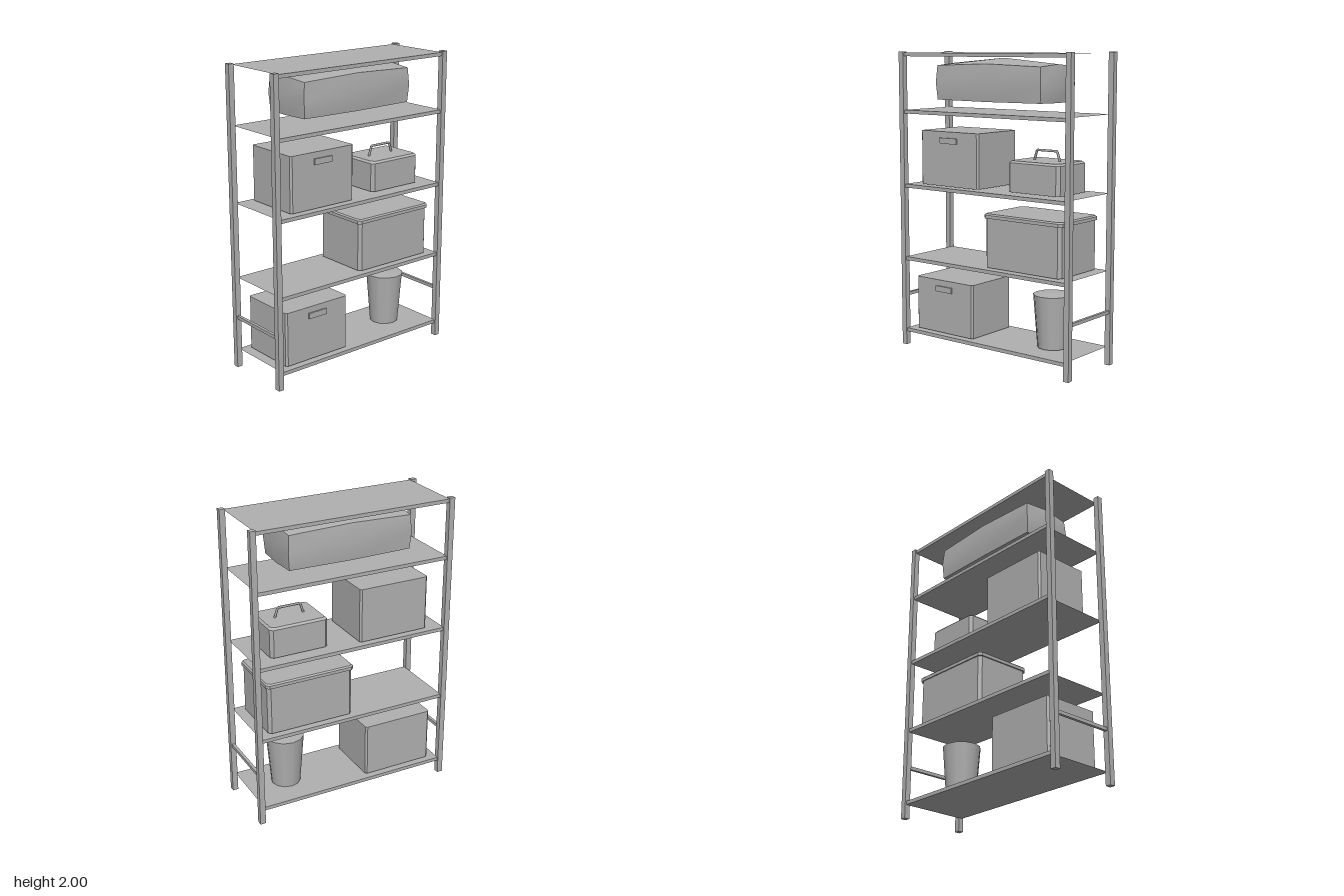
import * as THREE from 'three';
import { ConvexGeometry } from 'three/addons/geometries/ConvexGeometry.js';

const grey = new THREE.MeshStandardMaterial({ color: 0xb0b0b0 });
grey.name = 'plain grey';

function add(parent, name, geometry, x = 0, y = 0, z = 0) {
  const mesh = new THREE.Mesh(geometry, grey);
  mesh.name = name;
  mesh.position.set(x, y, z);
  parent.add(mesh);
  return mesh;
}

function group(parent, name, x, y, z = 0) {
  const g = new THREE.Group();
  g.name = name;
  g.position.set(x, y, z);
  parent.add(g);
  return g;
}

// Box standing on y = 0 with cut vertical corners and an optional bevelled top
function cutBox(w, h, d, cut, bevel = 0) {
  const points = [];
  const levels = bevel ? [[0, 0], [h - bevel, 0], [h, bevel]] : [[0, 0], [h, 0]];
  for (const [y, inset] of levels) {
    const a = w / 2 - inset, b = d / 2 - inset;
    for (const sx of [-1, 1]) for (const sz of [-1, 1]) {
      points.push(new THREE.Vector3(sx * a, y, sz * (b - cut)));
      points.push(new THREE.Vector3(sx * (a - cut), y, sz * b));
    }
  }
  return new ConvexGeometry(points);
}

// Folded sheet: top, underside and long edges, open at both ends
function shelfGeometry() {
  const g = new THREE.BoxGeometry(1.33, 0.024, 0.476);
  g.setIndex(Array.from(g.index.array).slice(12));
  g.clearGroups();
  return g;
}

// Soft bag: a box whose faces swell towards their middles
function bagGeometry() {
  const g = new THREE.BoxGeometry(2, 2, 2, 2, 2, 2);
  const p = g.attributes.position;
  const swell = (a, b) => (1 - 0.6 * a * a) * (1 - 0.6 * b * b) - 0.16;
  for (let i = 0; i < p.count; i++) {
    const x = p.getX(i), y = p.getY(i), z = p.getZ(i);
    const rise = y > 0 ? 0.11 + 0.06 * swell(x, z) : 0.113 + 0.01 * swell(x, z);
    p.setXYZ(i,
      x * (0.42 + 0.036 * swell(y, z)),
      y * rise,
      z * (0.174 + 0.03 * swell(x, y)));
  }
  g.computeVertexNormals();
  return g;
}

export function createModel() {
  const model = new THREE.Group();
  model.name = 'storageShelf';

  // Frame
  for (const sx of [-1, 1]) {
    for (const sz of [-1, 1]) {
      add(model, 'post', new THREE.BoxGeometry(0.038, 2, 0.038), sx * 0.68, 1, sz * 0.229);
    }
    add(model, 'sideBrace', new THREE.BoxGeometry(0.02, 0.022, 0.42), sx * 0.68, 0.35, 0);
  }
  for (const y of [0.103, 0.603, 1.102, 1.601, 1.98]) {
    add(model, 'shelf', shelfGeometry(), 0, y, 0);
  }

  // Two matching boxes with a grip plate
  for (const [x, y] of [[-0.355, 0.122], [-0.303, 1.121]]) {
    const box = group(model, 'storageBox', x, y);
    add(box, 'boxBody', cutBox(0.494, 0.36, 0.4, 0.012));
    add(box, 'boxGrip', new THREE.BoxGeometry(0.14, 0.038, 0.01), 0, 0.3, 0.205);
  }

  // Lidded crate
  const crate = group(model, 'crate', 0.298, 0.622);
  add(crate, 'crateBody', cutBox(0.596, 0.325, 0.4, 0.02));
  add(crate, 'crateLid', cutBox(0.616, 0.03, 0.416, 0.02, 0.009), 0, 0.322);

  // Toolbox with a bail handle
  const toolbox = group(model, 'toolbox', 0.347, 1.121);
  add(toolbox, 'toolboxBody', cutBox(0.398, 0.2, 0.306, 0.02, 0.013));
  const corners = [[-0.1, 0.195], [-0.078, 0.263], [0.078, 0.263], [0.1, 0.195]]
    .map(([x, y]) => new THREE.Vector3(x, y, 0));
  const path = new THREE.CurvePath();
  for (let i = 0; i < 3; i++) path.add(new THREE.LineCurve3(corners[i], corners[i + 1]));
  add(toolbox, 'toolboxHandle', new THREE.TubeGeometry(path, 40, 0.008, 6));

  // Bin with a slightly domed cover
  const bin = group(model, 'bin', 0.398, 0.12);
  add(bin, 'binBody', new THREE.CylinderGeometry(0.126, 0.098, 0.347, 12), 0, 0.1735);
  add(bin, 'binCover', new THREE.ConeGeometry(0.126, 0.01, 12, 1, true), 0, 0.352);

  // Bag on the upper shelf
  add(model, 'softBag', bagGeometry(), 0, 1.8, 0);

  return model;
}
